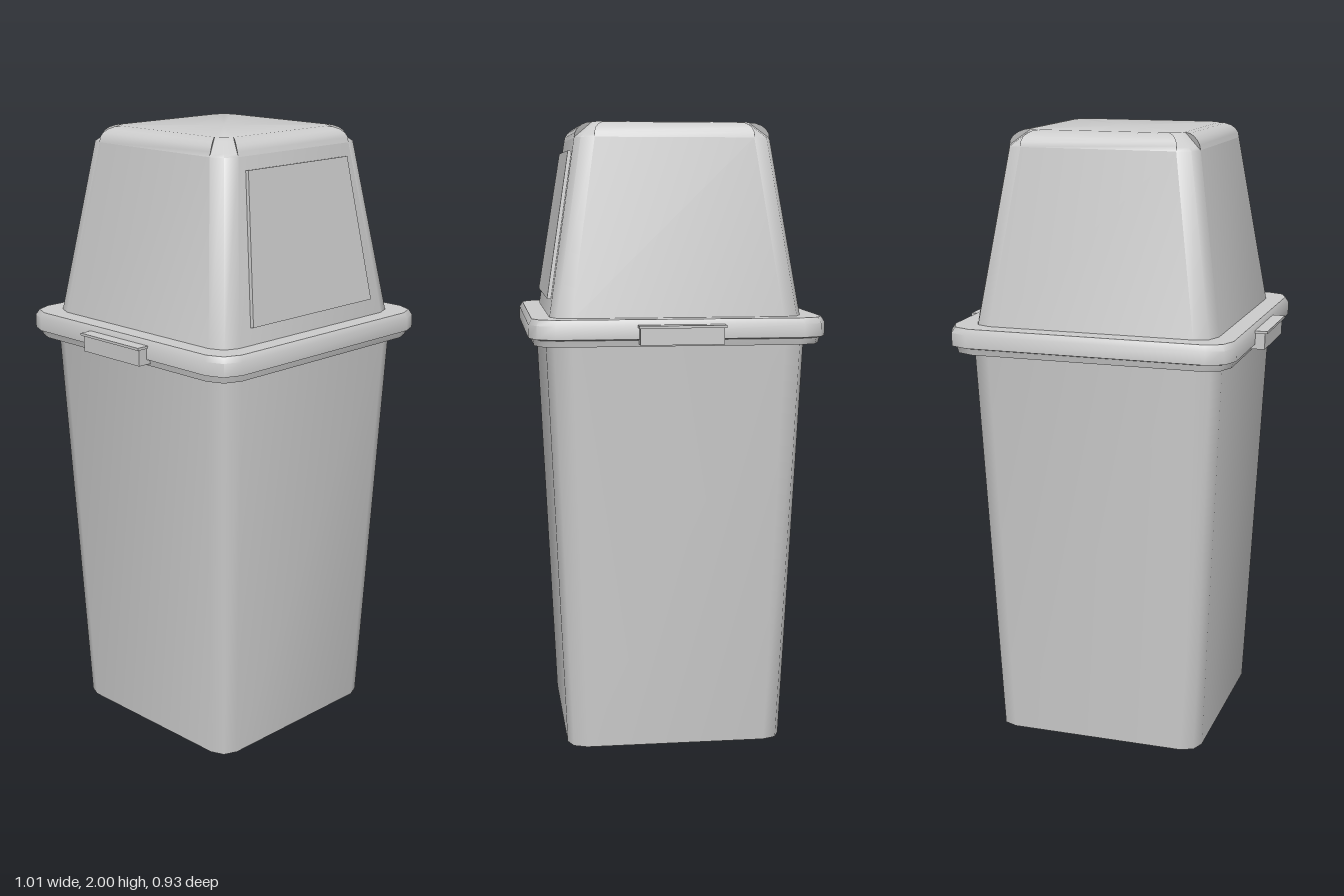
import * as THREE from 'three';
import { toCreasedNormals } from 'three/addons/utils/BufferGeometryUtils.js';

const material = new THREE.MeshStandardMaterial({ color: 0xcccccc });
const CORNER_SEGMENTS = 2;

function addMesh(parent, name, geometry) {
  const mesh = new THREE.Mesh(geometry, material);
  mesh.name = name;
  parent.add(mesh);
  return mesh;
}

// Rounded square cross-section. row: [y, halfWidth, cornerRadius, cornerRow?]
// The optional cornerRow replaces the section inside the corners, leaving a step beside them.
function ring(row) {
  const points = [];
  for (let q = 0; q < 4; q++) {
    const place = ([y, h, r], k) => {
      const a = (k / CORNER_SEGMENTS) * Math.PI / 2;
      const p = new THREE.Vector3(h - r + r * Math.cos(a), y, -(h - r + r * Math.sin(a)));
      points.push(p.applyAxisAngle(new THREE.Vector3(0, 1, 0), q * Math.PI / 2));
    };
    place(row, 0);
    for (let k = 0; k <= CORNER_SEGMENTS; k++) place(row[3] || row, k);
    place(row, CORNER_SEGMENTS);
  }
  return points;
}

// Skin a stack of rounded squares, listed from the bottom upwards
function loft(rows, capBottom, capTop) {
  const rings = rows.map(ring);
  const positions = [];
  const triangle = (a, b, c) => {
    const area = b.clone().sub(a).cross(c.clone().sub(a)).length();
    if (area > 1e-9) for (const p of [a, b, c]) positions.push(p.x, p.y, p.z);
  };
  const n = rings[0].length;
  const last = rings.length - 1;
  const bottom = new THREE.Vector3(0, rows[0][0], 0);
  const top = new THREE.Vector3(0, rows[last][0], 0);
  for (let i = 0; i < n; i++) {
    const j = (i + 1) % n;
    for (let k = 0; k < last; k++) {
      triangle(rings[k][i], rings[k][j], rings[k + 1][j]);
      triangle(rings[k][i], rings[k + 1][j], rings[k + 1][i]);
    }
    if (capBottom) triangle(bottom, rings[0][j], rings[0][i]);
    if (capTop) triangle(top, rings[last][i], rings[last][j]);
  }
  const geometry = new THREE.BufferGeometry();
  geometry.setAttribute('position', new THREE.Float32BufferAttribute(positions, 3));
  return toCreasedNormals(geometry, 0.85);
}

export function createModel() {
  const bin = new THREE.Group();
  bin.name = 'litterBin';

  // Tapered container
  addMesh(bin, 'body', loft([[0, 0.35, 0.06], [1.33, 0.41, 0.075]], true, true));

  // Overhanging rim with a narrower lip beneath it
  addMesh(bin, 'rim', loft([
    [1.312, 0.4, 0.07],
    [1.312, 0.448, 0.075],
    [1.332, 0.452, 0.075],
    [1.336, 0.465, 0.078],
    [1.378, 0.465, 0.078],
    [1.396, 0.455, 0.075],
    [1.396, 0.38, 0.06],
  ], false, false));

  // Dome lid: rounded top edges, flat chamfers cut across its four top corners
  const domeRows = [[1.39, 0.398, 0.065]];
  const steps = 5;
  for (let i = 0; i <= steps; i++) {
    const t = i / steps;
    const a = t * Math.PI / 2;
    const chamfer = [1.95 + 0.05 * t, 0.31 - 0.06 * t, 0.06 - 0.02 * t];
    domeRows.push([1.95 + 0.05 * Math.sin(a), 0.25 + 0.06 * Math.cos(a), chamfer[2], chamfer]);
  }
  addMesh(bin, 'domeLid', loft(domeRows, false, true));

  // Slightly raised trapezoid flap, leaning with the front of the lid
  const flapShape = new THREE.Shape([
    new THREE.Vector2(-0.275, 0), new THREE.Vector2(0.275, 0),
    new THREE.Vector2(0.225, 0.466), new THREE.Vector2(-0.225, 0.466),
  ]);
  const flapGeometry = new THREE.ExtrudeGeometry(flapShape, { depth: 0.03, bevelEnabled: false });
  flapGeometry.translate(0, 0, -0.03);
  const flap = addMesh(bin, 'frontFlap', flapGeometry);
  flap.position.set(0, 1.45, 0.401);
  flap.rotation.x = -Math.atan(0.073 / 0.46);

  // Side grips: a block under a thin overhanging plate
  for (const side of [1, -1]) {
    const grip = new THREE.Group();
    grip.name = side > 0 ? 'leftGrip' : 'rightGrip';
    const block = addMesh(grip, 'gripBlock', new THREE.BoxGeometry(0.055, 0.055, 0.26));
    block.position.set(side * 0.4685, 1.3475, 0);
    const plate = addMesh(grip, 'gripPlate', new THREE.BoxGeometry(0.065, 0.008, 0.27));
    plate.position.set(side * 0.4725, 1.376, 0);
    bin.add(grip);
  }

  return bin;
}
